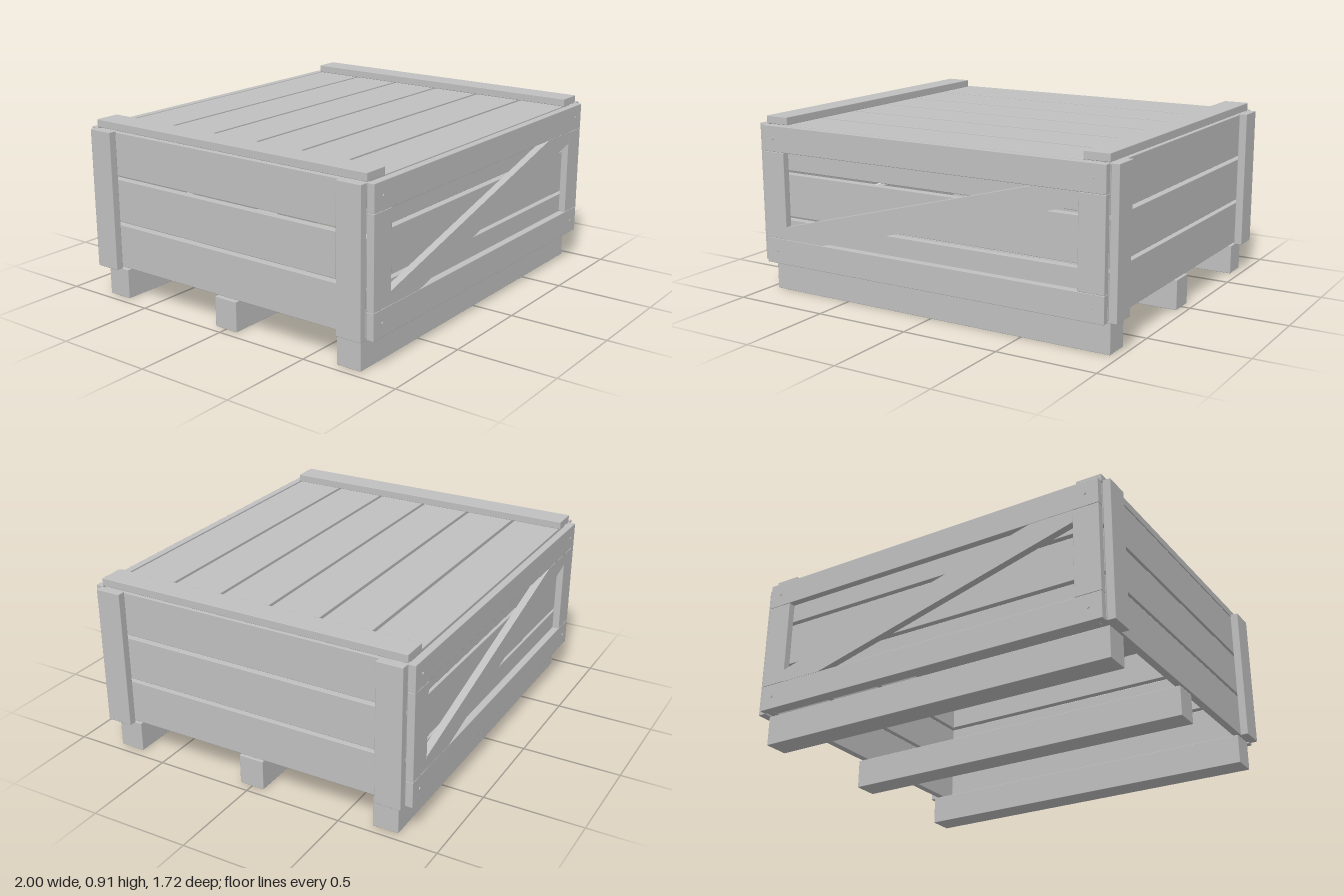
import * as THREE from 'three';
import { RoundedBoxGeometry } from 'three/addons/geometries/RoundedBoxGeometry.js';

export function createModel() {
  const wood = new THREE.MeshStandardMaterial({ color: 0xc0c0c0 });
  wood.name = 'plain wood';
  const model = new THREE.Group();
  model.name = 'crate';

  // Plank with finely eased edges, given by its limits on each axis
  function plank(parent, name, [x0, x1], [y0, y1], [z0, z1]) {
    const mesh = new THREE.Mesh(
      new RoundedBoxGeometry(x1 - x0, y1 - y0, z1 - z0, 1, 0.003), wood);
    mesh.position.set((x0 + x1) / 2, (y0 + y1) / 2, (z0 + z1) / 2);
    mesh.name = name;
    parent.add(mesh);
  }

  const rows = [[0.165, 0.385], [0.402, 0.62], [0.638, 0.858]];

  // Skids under the crate
  for (const z of [-0.72, 0, 0.72]) {
    plank(model, 'skid', [-0.955, 0.955], [0, 0.153], [z - 0.065, z + 0.065]);
  }

  // Lid boards and the two battens across them
  for (let i = 0; i < 6; i++) {
    const z = (i - 2.5) * 0.271;
    plank(model, 'lidBoard', [-0.916, 0.916], [0.826, 0.865], [z - 0.127, z + 0.127]);
  }
  for (const s of [-1, 1]) {
    const x = s * 0.89;
    plank(model, 'lidBatten', [x - 0.065, x + 0.065], [0.866, 0.906], [-0.815, 0.815]);
  }

  // Side wall: three boards and two corner posts
  function sideWall(name, turn) {
    const wall = new THREE.Group();
    wall.name = name;
    for (const y of rows) plank(wall, 'sideBoard', [0.917, 0.956], y, [-0.813, 0.813]);
    for (const z of [-0.75, 0.75]) {
      plank(wall, 'cornerPost', [0.959, 1], [0.158, 0.865], [z - 0.066, z + 0.066]);
    }
    wall.rotation.y = turn;
    model.add(wall);
  }

  // Braced wall: three boards, a frame, a diagonal brace and nails
  function bracedWall(name, turn) {
    const wall = new THREE.Group();
    wall.name = name;
    const depth = [0.815, 0.853];
    rows.forEach(([y0, y1]) =>
      plank(wall, 'wallBoard', [-0.915, 0.915], [y0, Math.min(y1, 0.825)], [0.774, 0.813]));
    plank(wall, 'topRail', [-0.956, 0.956], [0.733, 0.865], depth);
    plank(wall, 'bottomRail', [-0.956, 0.956], [0.158, 0.29], depth);
    for (const x of [-0.89, 0.89]) {
      plank(wall, 'stile', [x - 0.066, x + 0.066], [0.29, 0.733], depth);
    }

    const outline = [[-0.825, 0.29], [-0.6, 0.29], [0.825, 0.671],
      [0.825, 0.733], [0.6, 0.733], [-0.825, 0.354]];
    const shape = new THREE.Shape(outline.map(([x, y]) => new THREE.Vector2(x, y)));
    const brace = new THREE.Mesh(
      new THREE.ExtrudeGeometry(shape, { depth: 0.038, bevelEnabled: false }), wood);
    brace.position.z = 0.815;
    brace.name = 'diagonalBrace';
    wall.add(brace);

    for (const x of [-0.89, 0.89]) {
      for (const y of [0.225, 0.8]) {
        const nail = new THREE.Mesh(new THREE.CylinderGeometry(0.007, 0.007, 0.01, 10), wood);
        nail.rotation.x = Math.PI / 2;
        nail.position.set(x, y, 0.853);
        nail.name = 'nail';
        wall.add(nail);
      }
    }
    wall.rotation.y = turn;
    model.add(wall);
  }

  sideWall('leftWall', 0);
  sideWall('rightWall', Math.PI);
  bracedWall('frontWall', 0);
  bracedWall('backWall', Math.PI);
  return model;
}
